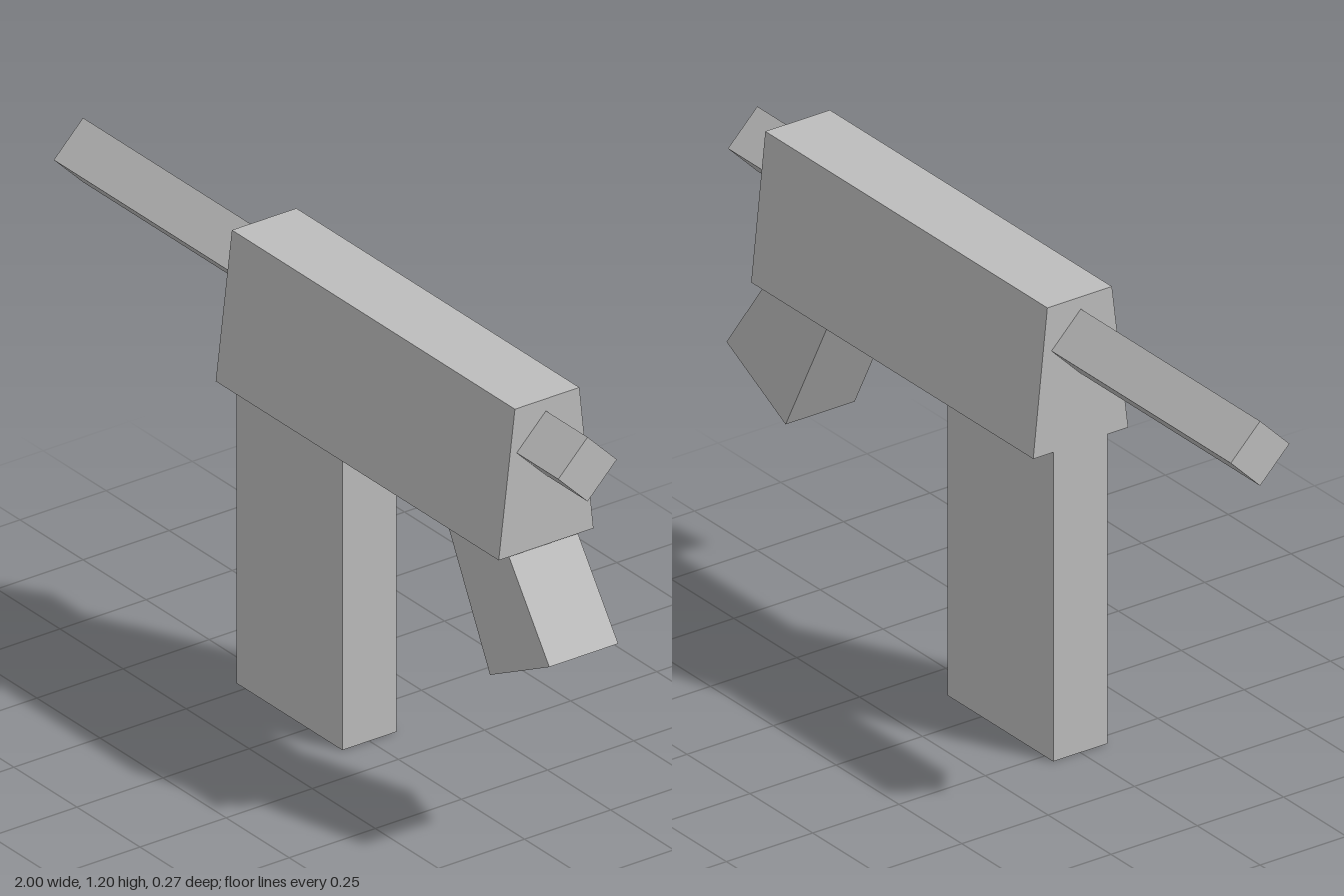
import * as THREE from 'three';

export function createModel() {
  const group = new THREE.Group();
  const grey = new THREE.MeshStandardMaterial({ color: 0xbcbcbc });
  grey.name = 'grey';

  const add = (name, geometry) => {
    const mesh = new THREE.Mesh(geometry, grey);
    mesh.name = name;
    group.add(mesh);
    return mesh;
  };

  // Straight prism from a closed outline
  const prism = (points, depth) => new THREE.ExtrudeGeometry(
    new THREE.Shape(points.map(([x, y]) => new THREE.Vector2(x, y))),
    { depth, bevelEnabled: false }
  );

  // Prism whose (z, y) outline runs along x from x0 to x1
  const alongX = (points, x0, x1) => prism(points.map(([z, y]) => [-z, y]), x1 - x0)
    .rotateY(Math.PI / 2).translate(x0, 0, 0);

  // Body with sides tapering toward the top
  add('body', alongX([[0.137, 0.815], [-0.138, 0.815], [-0.097, 1.2], [0.09, 1.2]], -0.287, 0.835));

  // Square bar set on its edge, passing through the body
  const r = 0.085, y = 1.083;
  add('barrel', alongX([[0, y - r], [-r, y], [0, y + r], [r, y]], -1, 1));

  // Upright block below the body
  add('magazine', new THREE.BoxGeometry(0.42, 0.85, 0.157)).position.set(-0.075, 0.425, 0);

  // Slanted grip, its top tucked into the body
  add('grip', prism([[0.75, 0.465], [0.985, 0.585], [0.785, 0.865], [0.545, 0.865]], 0.2)
    .translate(0, 0, -0.1));

  return group;
}
